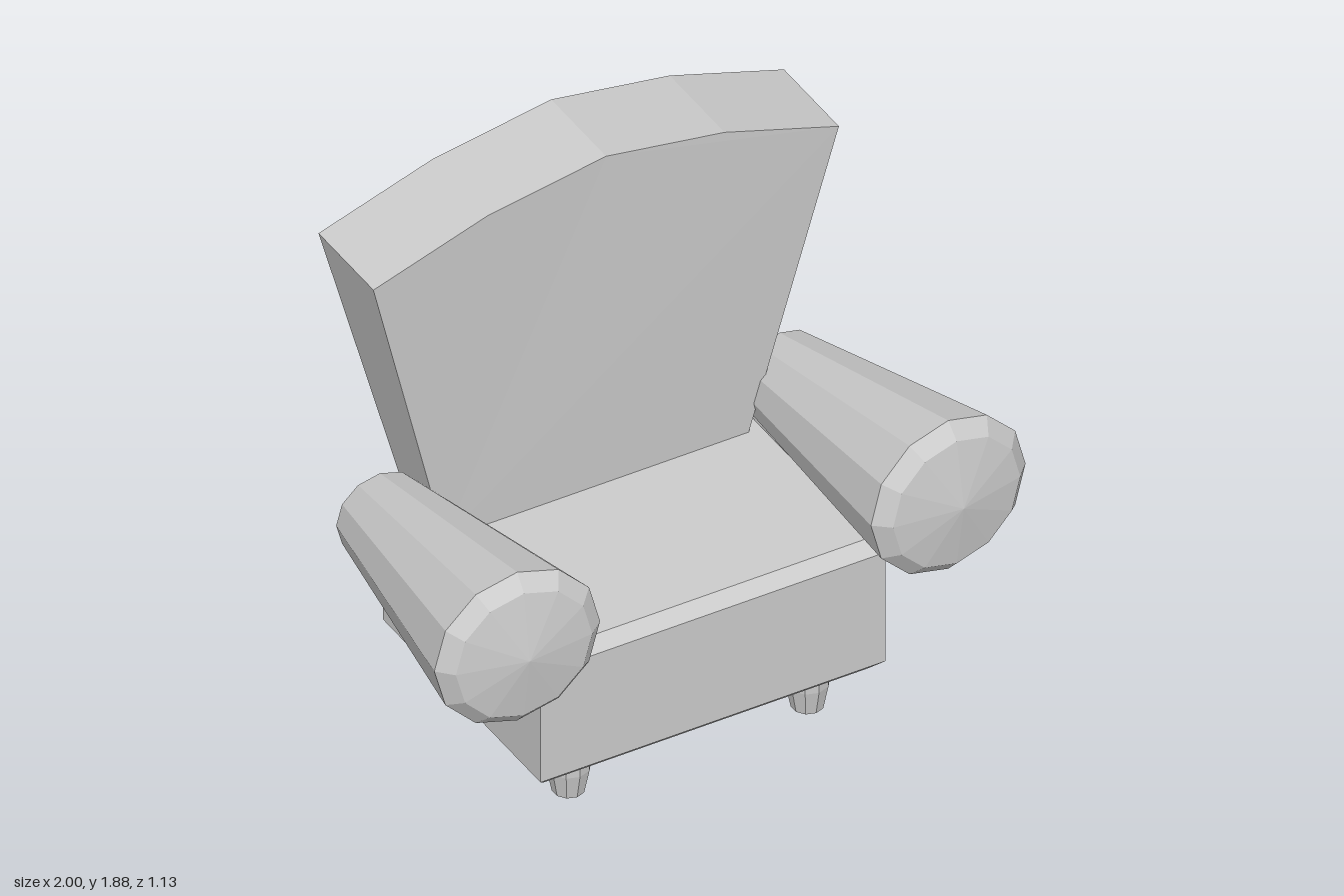
import * as THREE from 'three';

const material = new THREE.MeshStandardMaterial({ color: 0xcccccc, flatShading: true });

function addMesh(group, name, geometry) {
  const mesh = new THREE.Mesh(geometry, material);
  mesh.name = name;
  group.add(mesh);
  return mesh;
}

// Apply a rule to every vertex of a geometry
function reshape(geometry, rule) {
  const pos = geometry.attributes.position;
  const v = new THREE.Vector3();
  for (let i = 0; i < pos.count; i++) {
    rule(v.fromBufferAttribute(pos, i));
    pos.setXYZ(i, v.x, v.y, v.z);
  }
  geometry.computeVertexNormals();
  return geometry;
}

const toPoints = (list) => list.map(([x, y]) => new THREE.Vector2(x, y));

// Box seat with chamfered top and bottom rims
function seatGeometry() {
  const levels = [0.158, 0.197, 0.595, 0.634];
  const geometry = reshape(new THREE.BoxGeometry(1.165, 3, 0.913, 1, 3, 1), (v) => {
    const row = Math.round(v.y + 1.5);
    if (row === 0 || row === 3) {
      v.x -= Math.sign(v.x) * 0.034;
      v.z -= Math.sign(v.z) * 0.04;
    }
    v.y = levels[row];
  });
  return geometry.translate(0.005, 0, -0.1);
}

// Fan-shaped backrest that gets thicker towards the top corners
function backrestGeometry() {
  const outline = new THREE.Shape(toPoints([
    [-0.513, 0.632], [0.513, 0.632], [0.786, 1.685], [0.4, 1.81],
    [0, 1.875], [-0.4, 1.81], [-0.786, 1.685],
  ]));
  const geometry = new THREE.ExtrudeGeometry(outline, { depth: 1, bevelEnabled: false });
  geometry.translate(0, 0, -0.5);
  reshape(geometry, (v) => {
    const t = Math.min((v.y - 0.632) / 1.053, 1);
    v.z *= THREE.MathUtils.lerp(0.208, 0.318, t);
  });
  return geometry.translate(-0.004, 0, -0.406);
}

// Tapered twelve-sided bolster, rising and splaying towards the front
function armGeometry(side) {
  const profile = toPoints([
    [0, -0.48], [0.098, -0.447], [0.143, -0.408],
    [0.271, 0.48], [0.223, 0.525], [0, 0.563],
  ]);
  const geometry = new THREE.LatheGeometry(profile, 12).rotateX(Math.PI / 2);
  reshape(geometry, (v) => {
    const z = THREE.MathUtils.clamp(v.z, -0.408, 0.48);
    v.y += 0.833 + (z - 0.48) * 0.124;
  });
  return geometry.rotateY(side * 0.06).translate(side * 0.699, 0, 0);
}

export function createModel() {
  const model = new THREE.Group();
  model.name = 'armchair';

  addMesh(model, 'seat', seatGeometry());
  addMesh(model, 'backrest', backrestGeometry());
  addMesh(model, 'leftArm', armGeometry(1));
  addMesh(model, 'rightArm', armGeometry(-1));

  // Four short turned legs
  const legProfile = toPoints([[0, 0], [0.05, 0], [0.067, 0.085], [0.069, 0.165], [0, 0.165]]);
  const legGeometry = new THREE.LatheGeometry(legProfile, 10);
  for (const [sideName, x] of [['Left', 0.417], ['Right', -0.39]]) {
    for (const [endName, z] of [['front', 0.197], ['back', -0.373]]) {
      addMesh(model, `${endName}${sideName}Leg`, legGeometry).position.set(x, 0, z);
    }
  }
  return model;
}
